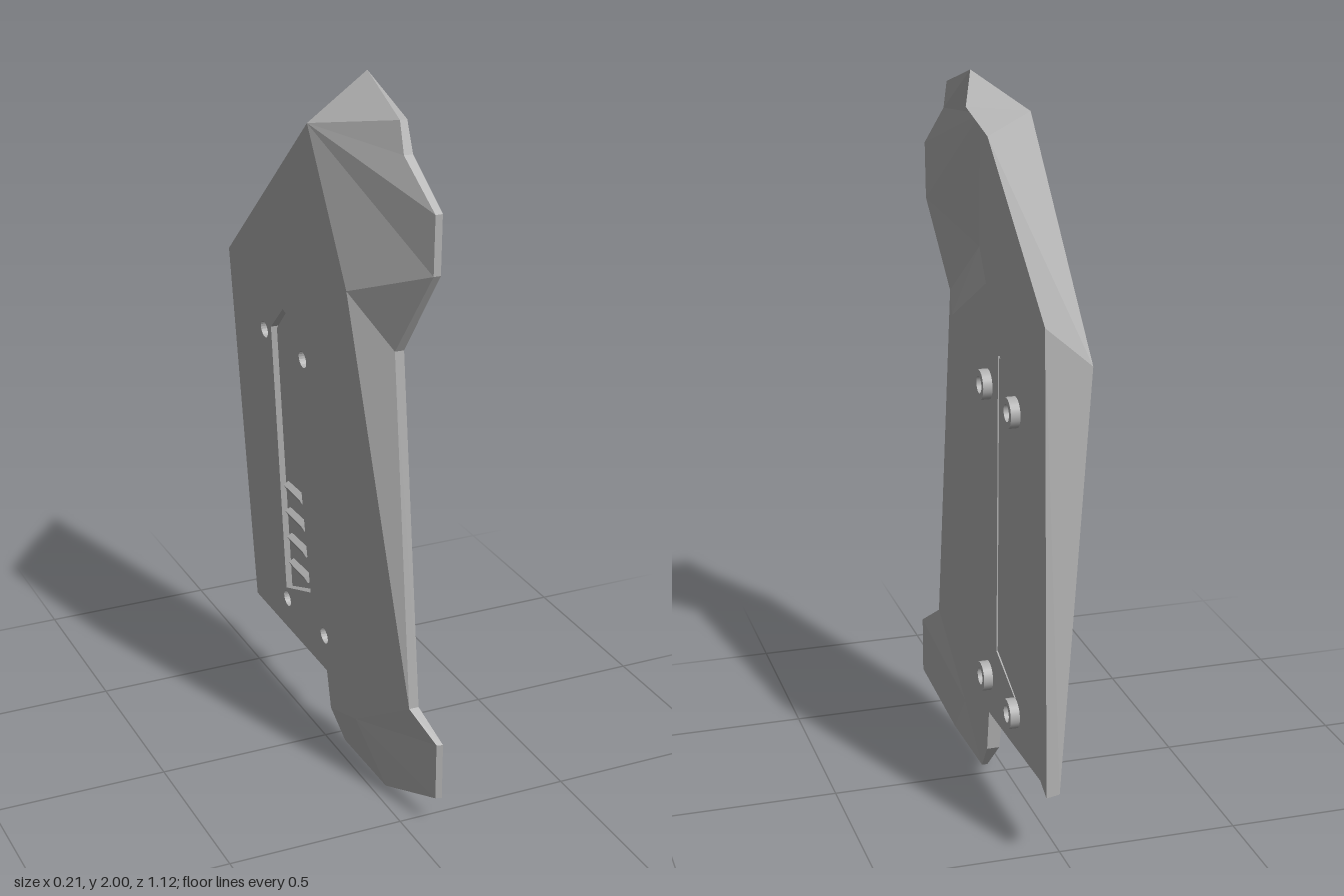
import * as THREE from 'three';

const grey = new THREE.MeshStandardMaterial({ color: 0xb0b0b0, side: THREE.DoubleSide });
grey.name = 'plain grey';

// Sloping plane of the outer skin, and the flat inner plane
const outerX = (y, z) => 0.029 - 0.075 * y + 0.02 * z;
const INNER = 0.055;
const onOuter = (y, z) => [outerX(y, z), y, z];

// Fills a polygon (with holes) that is roughly square to x; side = +1 or -1
function cap(out, side, contour, holes = []) {
  const flat = (list) => list.map((p) => new THREE.Vector2(-p[2], p[1]));
  const all = [contour, ...holes].flat();
  for (const [a, b, c] of THREE.ShapeUtils.triangulateShape(flat(contour), holes.map(flat))) {
    const area = THREE.ShapeUtils.area(flat([all[a], all[b], all[c]]));
    const tri = area * side > 0 ? [a, b, c] : [a, c, b];
    tri.forEach((k) => out.push(...all[k]));
  }
}

// Joins an inner loop to an outer loop of the same length
function wall(out, inner, outer) {
  inner.forEach((a, k) => {
    const j = (k + 1) % inner.length;
    const b = inner[j], c = outer[j], d = outer[k];
    if (a !== b && b !== c) out.push(...a, ...b, ...c);
    if (a !== d && c !== d) out.push(...a, ...c, ...d);
  });
}

function facetMesh(name, positions) {
  const g = new THREE.BufferGeometry();
  g.setAttribute('position', new THREE.Float32BufferAttribute(positions, 3));
  g.computeVertexNormals();
  const mesh = new THREE.Mesh(g, grey);
  mesh.name = name;
  return mesh;
}

export function createModel() {
  const group = new THREE.Group();
  group.name = 'sidePanel';

  // Inner outline: top, down the back, along the bottom, up the front
  const i = [
    [0.058, 2.0, 0.13], [0.105, 1.925, 0.01], [INNER, 1.85, -0.02], [INNER, 1.47, -0.52],
    [INNER, 0.195, -0.555], [INNER, 0.22, -0.5], [INNER, 0.2, -0.02], [0.058, 0.08, -0.01],
    [0.056, 0, 0.05], [0.062, 0, 0.32], [0.095, 0.085, 0.56], [0.095, 0.25, 0.56],
    [0.07, 0.32, 0.46], [0.048, 1.33, 0.385], [0.08, 1.57, 0.52], [0.082, 1.73, 0.52],
    [0.06, 1.85, 0.395], [0.06, 1.93, 0.36],
  ];
  // Outer outline, matched point for point
  const A = onOuter(1.88, 0.13), B = onOuter(1.48, 0.3), C = onOuter(1.35, -0.49);
  const D = [0.018, 0.2, -0.553], E = [0.003, 0.16, 0.2];
  const o = [
    i[0], A, A, C, D, onOuter(0.22, -0.5), onOuter(0.2, -0.02), [0.022, 0.08, -0.01],
    [0.04, 0, 0.05], [0.042, 0, 0.32], [0.078, 0.085, 0.555], [0.078, 0.25, 0.555],
    [0.042, 0.32, 0.46], [0.022, 1.33, 0.385], [0.06, 1.57, 0.52], [0.062, 1.73, 0.52],
    [0.035, 1.85, 0.395], [0.04, 1.93, 0.36],
  ];

  // Openings as (y, z) loops: four screw holes and the vent
  const bosses = [[1.175, -0.02], [1.175, -0.275], [0.315, -0.02], [0.315, -0.275]];
  const loops = bosses.map(([y, z]) => Array.from({ length: 20 }, (_, k) => {
    const t = (k / 20) * Math.PI * 2;
    return [y + 0.024 * Math.sin(t), z - 0.024 * Math.cos(t)];
  }));
  const vent = [[0.42, -0.095], [0.352, -0.275], [1.2, -0.225], [1.285, -0.13], [1.28, -0.113]];
  loops.push(vent);
  const innerHoles = loops.map((l) => l.map(([y, z]) => [INNER, y, z]));
  const outerHoles = loops.map((l) => l.map(([y, z]) => onOuter(y, z)));

  // Inner skin with the folded hollow near the top
  const p = [0.03, 1.88, 0.135], q = [0.015, 1.5, 0.2], r = [INNER, 1.45, 0];
  const s = [INNER, 1.27, 0.34], t = [INNER, 0.125, 0.23];
  const inner = [];
  cap(inner, 1, [i[2], i[3], i[4], i[5], i[6], t, s, r], innerHoles);
  [
    [i[0], i[1], p], [p, i[1], i[2]], [i[2], r, q, p], [r, s, q], [q, s, i[13]],
    [q, i[13], i[14]], [q, i[14], i[15], i[16], p], [p, i[16], i[17], i[0]],
    [s, t, i[12], i[13]], [t, i[12], i[11], i[10]], [t, i[10], i[9]], [t, i[9], i[8]],
    [t, i[8], i[7], i[6]],
  ].forEach((f) => cap(inner, 1, f));
  group.add(facetMesh('innerSkin', inner));

  // Outer skin
  const outer = [];
  cap(outer, -1, [A, C, D, o[5], o[6], E, B], outerHoles);
  [
    [A, i[0], o[17]], [A, o[17], o[16]], [A, o[16], o[15], o[14], B], [B, o[14], o[13]],
    [B, o[13], o[12]], [B, o[12], E], [E, o[12], o[11], o[10]], [E, o[10], o[9]],
    [E, o[9], o[8]], [E, o[8], o[7], o[6]],
  ].forEach((f) => cap(outer, -1, f));
  group.add(facetMesh('outerSkin', outer));

  // Bevelled rim and the walls of the openings
  const rim = [];
  wall(rim, i, o);
  group.add(facetMesh('rim', rim));
  const tunnels = [];
  innerHoles.forEach((h, k) => wall(tunnels, h, outerHoles[k]));
  group.add(facetMesh('openingWalls', tunnels));

  // Vent insert, sunk a little and with a hairline gap around it
  const small = vent.map(([y, z]) => [0.8 + (y - 0.8) * 0.988, -0.175 + (z + 0.175) * 0.93]).reverse();
  const back = small.map(([y, z]) => [INNER - 0.002, y, z]);
  const front = small.map(([y, z]) => [outerX(y, z) + 0.016, y, z]);
  const insert = [];
  cap(insert, 1, back);
  cap(insert, -1, front);
  wall(insert, back, front);
  group.add(facetMesh('ventInsert', insert));

  // Slats on the lower part of the vent
  for (let k = 0; k < 4; k++) {
    const y = 0.45 + k * 0.085;
    const slat = new THREE.Mesh(new THREE.BoxGeometry(0.024, 0.022, 0.115), grey);
    slat.position.set(outerX(y, -0.18) + 0.014, y, -0.182 + k * 0.003);
    slat.rotation.z = 0.5;
    slat.name = 'ventSlat';
    group.add(slat);
  }

  // Screw bosses: short tubes on the inner side
  const ring = [[0.024, 0], [0.024, 0.026], [0.042, 0.026], [0.042, 0]];
  for (const [y, z] of bosses) {
    const boss = new THREE.Group();
    boss.name = 'screwBoss';
    for (let k = 0; k < 3; k++) {
      const pts = [ring[k], ring[k + 1]].map((v) => new THREE.Vector2(...v));
      const part = new THREE.Mesh(new THREE.LatheGeometry(pts, 24), grey);
      part.name = ['bossBore', 'bossFace', 'bossSide'][k];
      boss.add(part);
    }
    boss.rotation.z = -Math.PI / 2;
    boss.position.set(INNER, y, z);
    group.add(boss);
  }
  return group;
}
